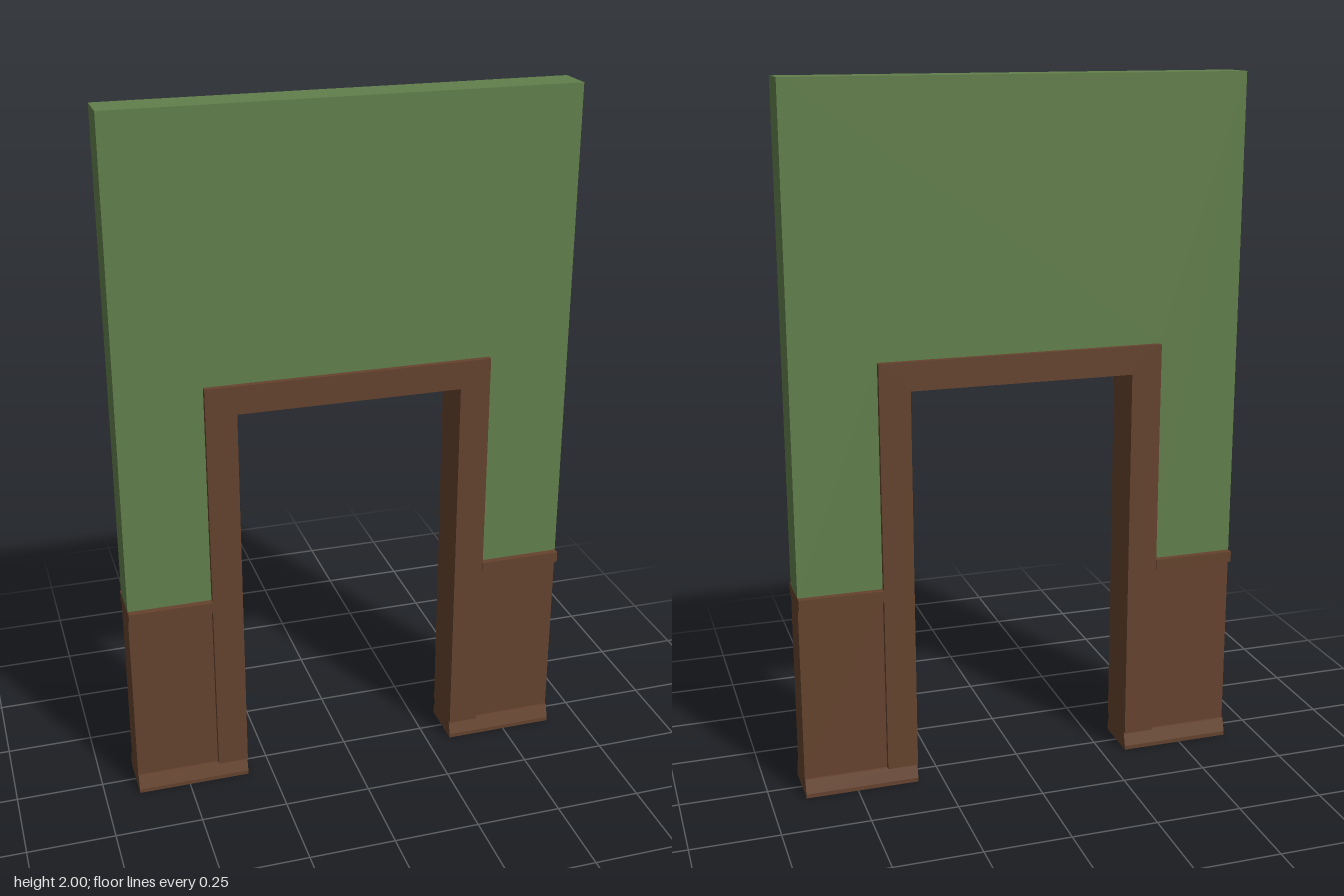
import * as THREE from 'three';

export function createModel() {
  const model = new THREE.Group();
  const green = new THREE.MeshStandardMaterial({ color: 0x627f4b });
  green.name = 'green wall paint';
  const brown = new THREE.MeshStandardMaterial({ color: 0x65432e });
  brown.name = 'brown wood';

  const W = 0.65, H = 2;              // half width and height of the wall
  const inX = 0.322, outX = 0.41;     // inner and outer edges of the door frame
  const inY = 1.168, outY = 1.25;
  const wallZ = 0.055, frameZ = 0.071, trimZ = 0.074; // half depths
  const baseY = 0.052, railLow = 0.57, railTop = 0.602;

  const add = (name, geometry, material) => {
    const mesh = new THREE.Mesh(geometry, material);
    mesh.name = name;
    model.add(mesh);
    return mesh;
  };
  const extrude = (points, depth) =>
    new THREE.ExtrudeGeometry(
      new THREE.Shape(points.map(([x, y]) => new THREE.Vector2(x, y))),
      { depth, bevelEnabled: false }
    ).translate(0, 0, -depth / 2);

  // Upside-down U outline between an inner and an outer rectangle
  const arch = (ox, oy, ix, iy, y0) => [
    [-ox, y0], [-ix, y0], [-ix, iy], [ix, iy], [ix, y0], [ox, y0], [ox, oy], [-ox, oy],
  ];

  add('upperWall', extrude(arch(W, H, outX, outY, railTop), wallZ * 2), green);
  add('doorFrame', extrude(arch(outX, outY, inX, inY, baseY), frameZ * 2), brown);

  // Lower panelling, chair rail and flared baseboard on each side
  for (const [side, s] of [['left', 1], ['right', -1]]) {
    const block = (name, y0, y1, z) => {
      const mesh = add(name, new THREE.BoxGeometry(W - outX, y1 - y0, z * 2), brown);
      mesh.position.set(s * (W + outX) / 2, (y0 + y1) / 2, 0);
    };
    block(side + 'Panel', baseY, railLow, wallZ);
    block(side + 'ChairRail', railLow, railTop, trimZ);

    const profile = [[-trimZ, 0], [trimZ, 0], [trimZ, 0.012], [0.062, baseY], [-0.062, baseY], [-trimZ, 0.012]];
    const base = add(side + 'Baseboard', extrude(profile, W - inX), brown);
    base.rotation.y = Math.PI / 2;
    base.position.x = s * (W + inX) / 2;
  }
  return model;
}
